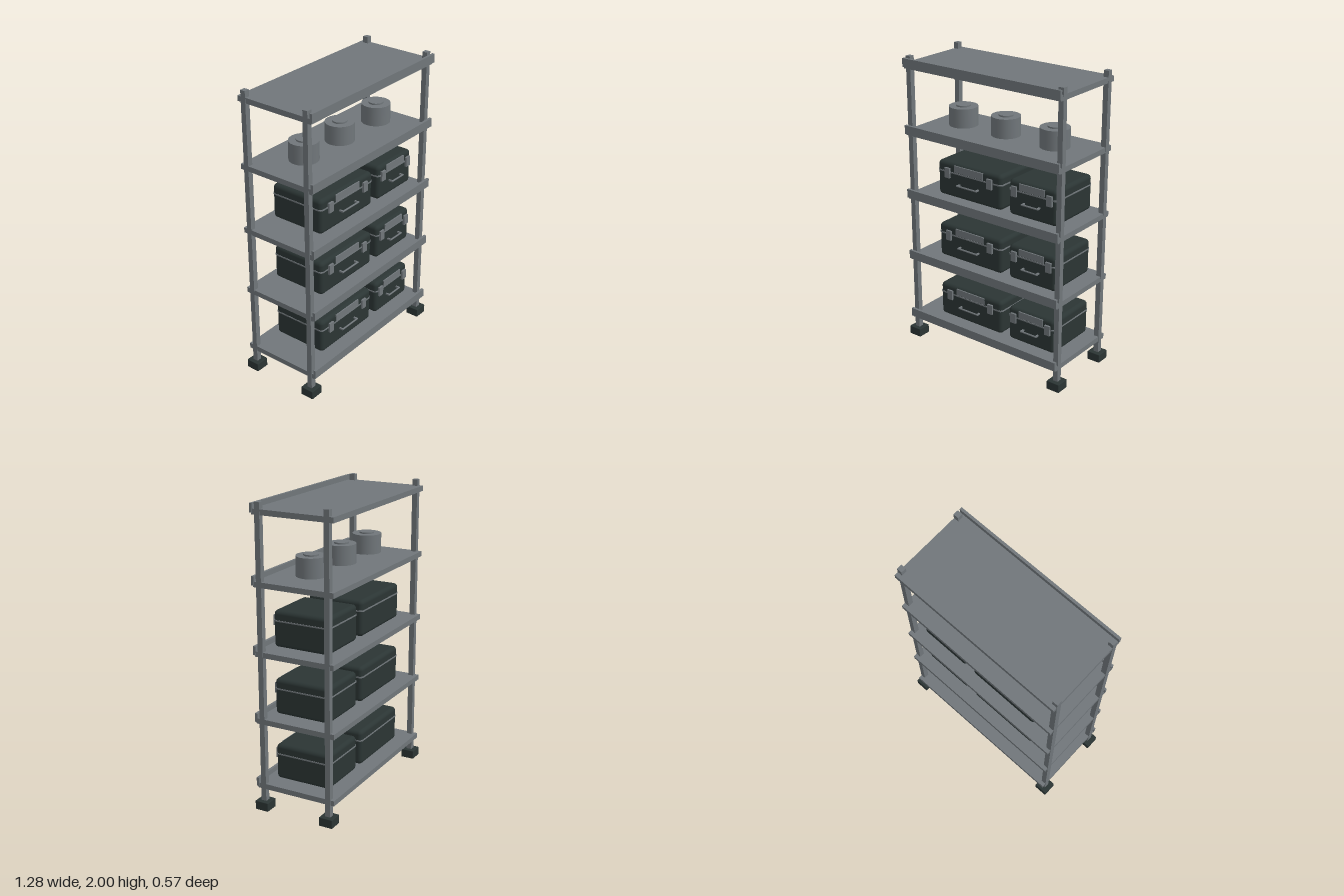
import * as THREE from 'three';
import { RoundedBoxGeometry } from 'three/addons/geometries/RoundedBoxGeometry.js';

export function createModel() {
  const model = new THREE.Group();
  model.name = 'storageRack';

  const metal = new THREE.MeshStandardMaterial({ color: 0x70767a });
  metal.name = 'grey metal';
  const dark = new THREE.MeshStandardMaterial({ color: 0x2b3534 });
  dark.name = 'dark plastic';

  function add(parent, name, geometry, material, x, y, z) {
    const mesh = new THREE.Mesh(geometry, material);
    mesh.name = name;
    mesh.position.set(x, y, z);
    parent.add(mesh);
    return mesh;
  }
  // Box given by its lower and upper limits on each axis
  function box(parent, name, material, [x0, x1], [y0, y1], [z0, z1]) {
    return add(parent, name, new THREE.BoxGeometry(x1 - x0, y1 - y0, z1 - z0), material,
      (x0 + x1) / 2, (y0 + y1) / 2, (z0 + z1) / 2);
  }

  // Corner posts on block feet
  for (const x of [-0.593, 0.593]) {
    for (const z of [-0.238, 0.234]) {
      box(model, 'post', metal, [x - 0.018, x + 0.018], [0.05, 2], [z - 0.018, z + 0.018]);
      add(model, 'foot', new RoundedBoxGeometry(0.094, 0.06, 0.094, 2, 0.004), dark, x, 0.03, z);
    }
  }

  // Hard case: rounded shell, seam band, two latches, label plate and handle
  function makeCase(x0, x1, y) {
    const group = new THREE.Group();
    group.name = 'case';
    const w = x1 - x0, z0 = -0.205, z1 = 0.186;
    group.position.set((x0 + x1) / 2, y, 0);
    add(group, 'caseShell', new RoundedBoxGeometry(w, 0.238, z1 - z0, 4, 0.026), dark,
      0, 0.119, (z0 + z1) / 2);

    const outline = new THREE.Shape();
    const hw = w / 2 + 0.003, hd = (z1 - z0) / 2 + 0.003, r = 0.026;
    outline.absarc(hw - r, hd - r, r, 0, Math.PI / 2);
    outline.absarc(r - hw, hd - r, r, Math.PI / 2, Math.PI);
    outline.absarc(r - hw, r - hd, r, Math.PI, Math.PI * 1.5);
    outline.absarc(hw - r, r - hd, r, Math.PI * 1.5, Math.PI * 2);
    const seam = new THREE.ExtrudeGeometry(outline, { depth: 0.009, bevelEnabled: false, curveSegments: 5 });
    seam.rotateX(-Math.PI / 2);
    add(group, 'seamBand', seam, metal, 0, 0.167, (z0 + z1) / 2);

    const latch = w / 2 - 0.088 * (w > 0.45 ? 1 : 0.53);
    for (const s of [-1, 1]) {
      box(group, 'latch', metal, [s * latch - 0.021, s * latch + 0.021], [0.132, 0.2], [0.18, 0.2]);
    }
    const plate = w > 0.45 ? 0.119 : 0.097;
    box(group, 'labelPlate', metal, [-plate, plate], [0.18, 0.225], [0.17, 0.191]);

    // Thin bar handle with two stubs
    const grip = w > 0.45 ? 0.083 : 0.064;
    const bar = new THREE.CylinderGeometry(0.006, 0.006, grip * 2, 8);
    bar.rotateZ(Math.PI / 2);
    add(group, 'handleBar', bar, metal, 0, 0.1, 0.212);
    for (const s of [-1, 1]) {
      const x = s * (grip - 0.006);
      box(group, 'handleStub', metal, [x - 0.006, x + 0.006], [0.095, 0.105], [0.18, 0.212]);
    }
    model.add(group);
  }

  // Shelves with a raised front lip; the lower three carry cases
  for (let i = 0; i < 5; i++) {
    const y = 0.143 + i * 0.445;
    box(model, 'shelf', metal, [-0.609, 0.609], [y, y + 0.035], [-0.283, 0.275]);
    box(model, 'shelfLip', metal, [-0.611, 0.611], [y + 0.01, y + 0.068], [0.268, 0.286]);
    if (i < 3) {
      makeCase(-0.421, 0.103, y + 0.055);
      makeCase(0.164, 0.529, y + 0.055);
    }
  }

  // Canisters with a raised cap
  for (const x of [-0.35, 0, 0.38]) {
    add(model, 'canister', new THREE.CylinderGeometry(0.096, 0.096, 0.128, 24), metal, x, 1.596, 0);
    add(model, 'canisterCap', new THREE.CylinderGeometry(0.048, 0.048, 0.012, 24), metal, x, 1.664, 0);
  }

  return model;
}
